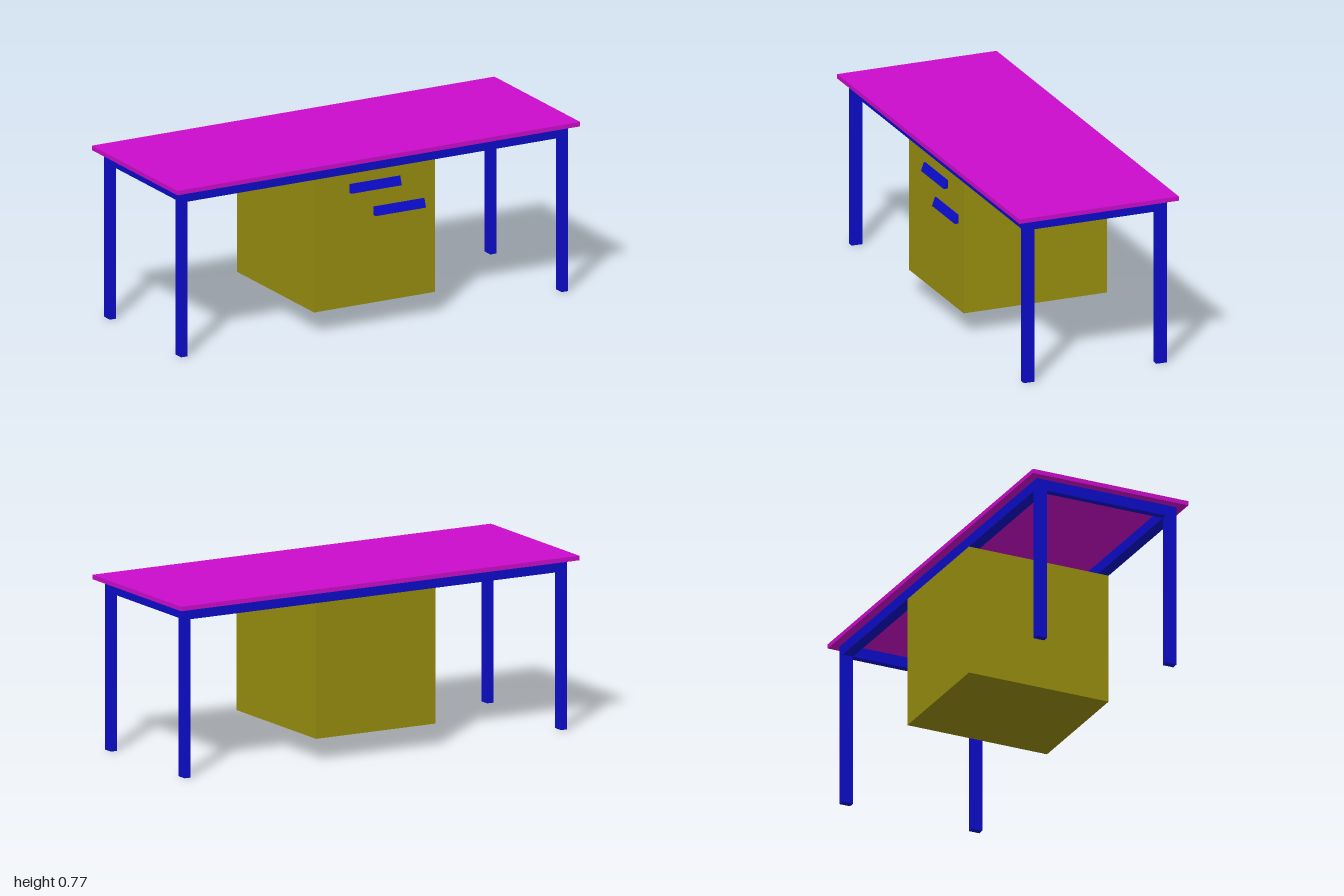
import * as THREE from 'three';

export function createModel() {
  const group = new THREE.Group();
  const material = (color) => new THREE.MeshStandardMaterial({ color });
  const topMat = material(0xcc0ccc);
  const frameMat = material(0x0c0ccc);
  const cabinetMat = material(0x998f0f);

  const add = (name, geometry, mat, x, y, z) => {
    const mesh = new THREE.Mesh(geometry, mat);
    mesh.name = name;
    mesh.position.set(x, y, z);
    group.add(mesh);
  };
  const box = (name, mat, w, h, d, x, y, z) =>
    add(name, new THREE.BoxGeometry(w, h, d), mat, x, y, z);

  // Table top
  box('tableTop', topMat, 2, 0.02, 0.748, 0, 0.76, 0);

  // Frame: four legs joined by rails under the top
  const legW = 0.03, legD = 0.05, outerX = 0.96, outerZ = 0.336;
  const legX = outerX - legW / 2, legZ = outerZ - legD / 2;
  for (const s of [-1, 1]) {
    for (const t of [-1, 1]) {
      box('leg', frameMat, legW, 0.75, legD, s * legX, 0.375, t * legZ);
    }
    box('sideRail', frameMat, legW, 0.05, 2 * (outerZ - legD), s * legX, 0.725, 0);
    box('longRail', frameMat, 2 * (outerX - legW), 0.05, legD, 0, 0.725, s * legZ);
  }

  // Cabinet hung under the rails
  box('cabinet', cabinetMat, 0.6, 0.6, 2 * outerZ, 0, 0.4, 0);

  // Wedge handles: profile in (depth, height), extruded along x
  const profile = new THREE.Shape([
    new THREE.Vector2(0, 0),
    new THREE.Vector2(0.019, 0),
    new THREE.Vector2(0.005, 0.039),
    new THREE.Vector2(0, 0.039),
  ]);
  const handle = new THREE.ExtrudeGeometry(profile, { depth: 0.25, bevelEnabled: false });
  handle.translate(0, 0, -0.125);
  handle.rotateY(-Math.PI / 2);
  add('upperHandle', handle, frameMat, 0, 0.615, outerZ);
  add('lowerHandle', handle, frameMat, 0.12, 0.495, outerZ);

  return group;
}
